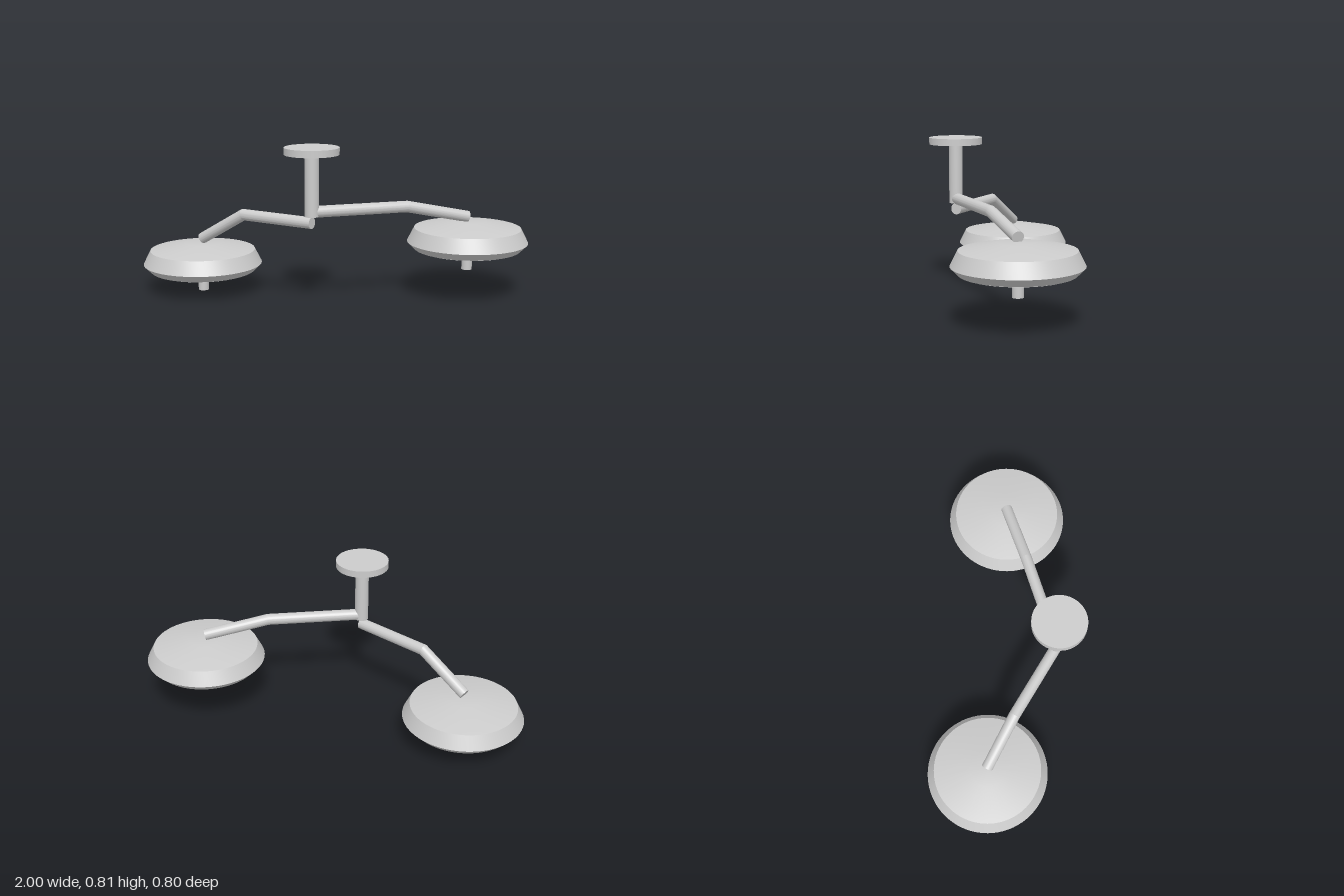
import * as THREE from 'three';
import { toCreasedNormals } from 'three/addons/utils/BufferGeometryUtils.js';

const material = new THREE.MeshStandardMaterial({ color: 0xcccccc });
const HUB = { x: -0.105, z: 0.265 };

function addMesh(parent, name, geometry) {
  const mesh = new THREE.Mesh(geometry, material);
  mesh.name = name;
  parent.add(mesh);
  return mesh;
}

// Upright cylinder between two heights
function addPost(parent, name, radius, y0, y1, x, z) {
  const post = addMesh(parent, name, new THREE.CylinderGeometry(radius, radius, y1 - y0, 64));
  post.position.set(x, (y0 + y1) / 2, z);
}

// Round bar through three points with a mitred elbow and square ends
function elbowBar(points, radius) {
  const [a, b, c] = points;
  const d0 = b.clone().sub(a).normalize();
  const d1 = c.clone().sub(b).normalize();
  const side = new THREE.Vector3(0, 1, 0).cross(d0).normalize();
  const n0 = d0.clone().cross(side);
  const n1 = d1.clone().cross(side);
  const mitre = n0.clone().add(n1).divideScalar(1 + n0.dot(n1));
  const across = [n0, mitre, n1];

  const geometry = new THREE.CylinderGeometry(radius, radius, 2, 48, 2);
  const pos = geometry.attributes.position;
  const p = new THREE.Vector3();
  for (let i = 0; i < pos.count; i++) {
    const ring = Math.round(pos.getY(i)) + 1;
    p.copy(points[ring])
      .addScaledVector(across[ring], pos.getX(i))
      .addScaledVector(side, pos.getZ(i));
    pos.setXYZ(i, p.x, p.y, p.z);
  }
  return toCreasedNormals(geometry, 0.2);
}

// Lamp head: heights are measured from the tip of its handle
function lampHead(name, x, y, z) {
  const head = new THREE.Group();
  head.name = name;
  head.position.set(x, y, z);
  const profile = [
    [0, 0.105], [0.257, 0.105], [0.257, 0.11], [0.273, 0.11],
    [0.31, 0.147], [0.274, 0.219], [0.09, 0.256], [0, 0.256],
  ].map(([r, h]) => new THREE.Vector2(r, h));
  addMesh(head, 'lampHousing', toCreasedNormals(new THREE.LatheGeometry(profile, 72), 0.25));
  addPost(head, 'handle', 0.027, 0, 0.11, 0, 0);
  return head;
}

export function createModel() {
  const model = new THREE.Group();
  model.name = 'ceilingLamp';

  // Ceiling mount
  addPost(model, 'ceilingPlate', 0.136, 0.772, 0.807, HUB.x, HUB.z);
  addPost(model, 'column', 0.035, 0.465, 0.772, HUB.x, HUB.z);

  // Each arm swings out level from the column, then drops to its lamp
  const arms = [
    { side: 'left', x: 0.69, z: 0.021, armY: 0.488, elbowX: 0.37, endY: 0.417, lampY: 0.14 },
    { side: 'right', x: -0.69, z: -0.09, armY: 0.432, elbowX: -0.46, endY: 0.278, lampY: 0 },
  ];
  for (const { side, x, z, armY, elbowX, endY, lampY } of arms) {
    const t = (elbowX - HUB.x) / (x - HUB.x);
    const path = [
      new THREE.Vector3(HUB.x, armY, HUB.z),
      new THREE.Vector3(elbowX, armY, HUB.z + t * (z - HUB.z)),
      new THREE.Vector3(x, endY, z),
    ];
    addMesh(model, side + 'Arm', elbowBar(path, 0.029));
    model.add(lampHead(side + 'Lamp', x, lampY, z));
  }
  return model;
}
